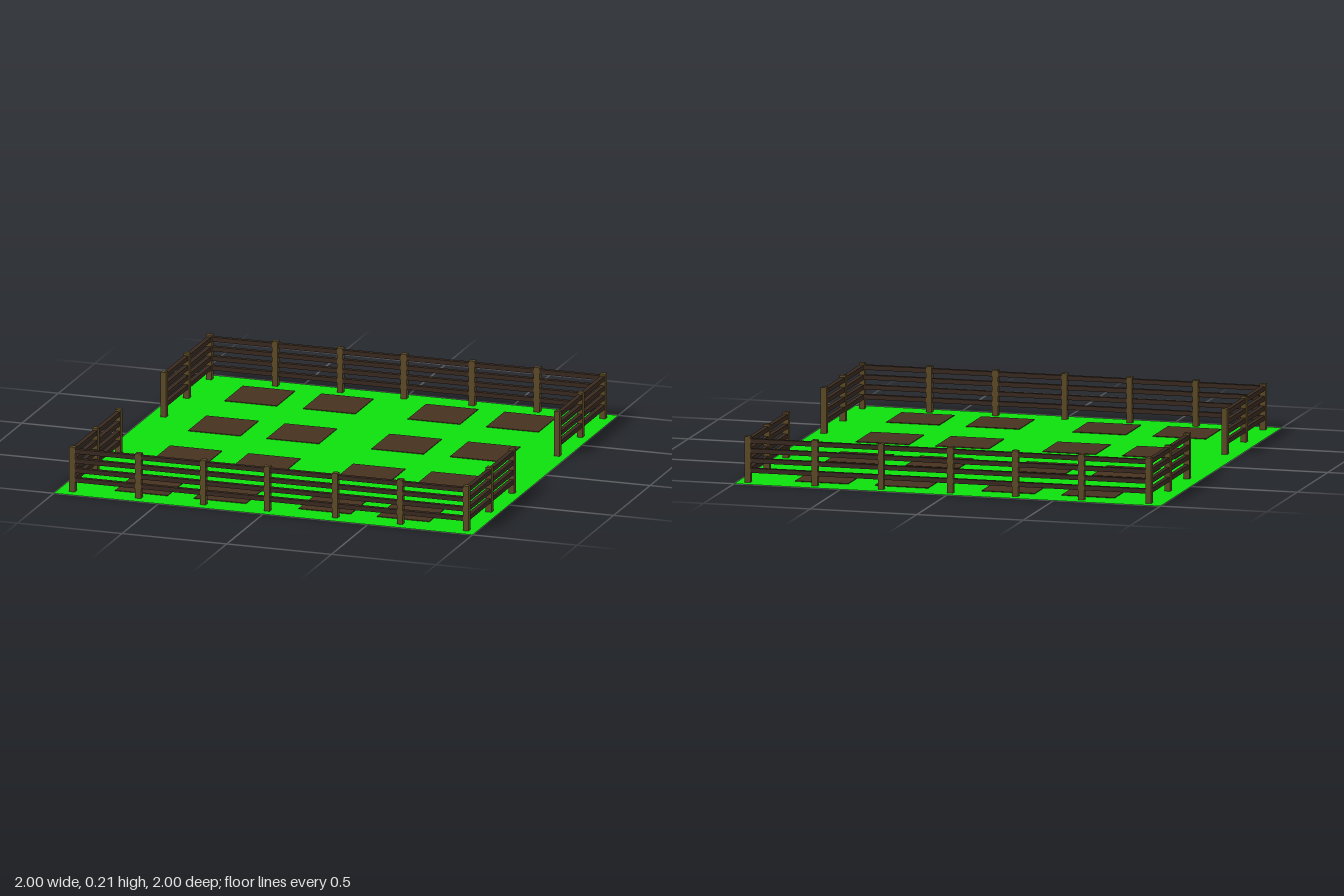
import * as THREE from 'three';

const POST = 0.027, POST_H = 0.21, RAIL = 0.021;
const RAIL_HEIGHTS = [0.055, 0.1, 0.145, 0.19];

export function createModel() {
  const model = new THREE.Group();
  model.name = 'fencedGarden';

  const grass = new THREE.MeshStandardMaterial({ color: 0x0de00d, side: THREE.DoubleSide });
  const soil = new THREE.MeshStandardMaterial({ color: 0x463220 });
  const postWood = new THREE.MeshStandardMaterial({ color: 0x5e4c28 });
  const railWood = new THREE.MeshStandardMaterial({ color: 0x3a2a20 });

  const addBox = (parent, name, size, pos, material) => {
    const mesh = new THREE.Mesh(new THREE.BoxGeometry(...size), material);
    mesh.position.set(...pos);
    mesh.name = name;
    parent.add(mesh);
  };

  // Flat lawn
  const lawn = new THREE.Mesh(new THREE.PlaneGeometry(2, 2).rotateX(-Math.PI / 2), grass);
  lawn.name = 'lawn';
  model.add(lawn);

  // Grid of thin soil beds
  const beds = new THREE.Group();
  beds.name = 'soilBeds';
  for (const x of [-0.625, -0.25, 0.25, 0.625])
    for (const z of [-0.75, -0.25, 0.25, 0.75])
      addBox(beds, 'soilBed', [0.25, 0.003, 0.25], [x, 0.0025, z], soil);
  model.add(beds);

  // Two U-shaped fences, leaving a gap in the middle of each side
  const postXs = [-0.93, -0.615, -0.305, 0, 0.325, 0.635, 0.95];
  const xMin = postXs[0], xMax = postXs[postXs.length - 1];
  const fences = [
    { name: 'backFence', zs: [-0.94, -0.627, -0.313] },
    { name: 'frontFence', zs: [0.937, 0.623, 0.31] },
  ];
  for (const { name, zs } of fences) {
    const fence = new THREE.Group();
    fence.name = name;
    const [zEdge, , zEnd] = zs;

    const addPost = (x, z) =>
      addBox(fence, 'post', [POST, POST_H, POST], [x, POST_H / 2, z], postWood);
    postXs.forEach((x) => addPost(x, zEdge));
    for (const x of [xMin, xMax]) zs.slice(1).forEach((z) => addPost(x, z));

    // Rails run between the centres of the end posts
    for (const y of RAIL_HEIGHTS) {
      addBox(fence, 'longRail', [xMax - xMin, RAIL, RAIL], [(xMin + xMax) / 2, y, zEdge], railWood);
      for (const x of [xMin, xMax])
        addBox(fence, 'sideRail', [RAIL, RAIL, Math.abs(zEnd - zEdge)], [x, y, (zEdge + zEnd) / 2], railWood);
    }
    model.add(fence);
  }
  return model;
}
